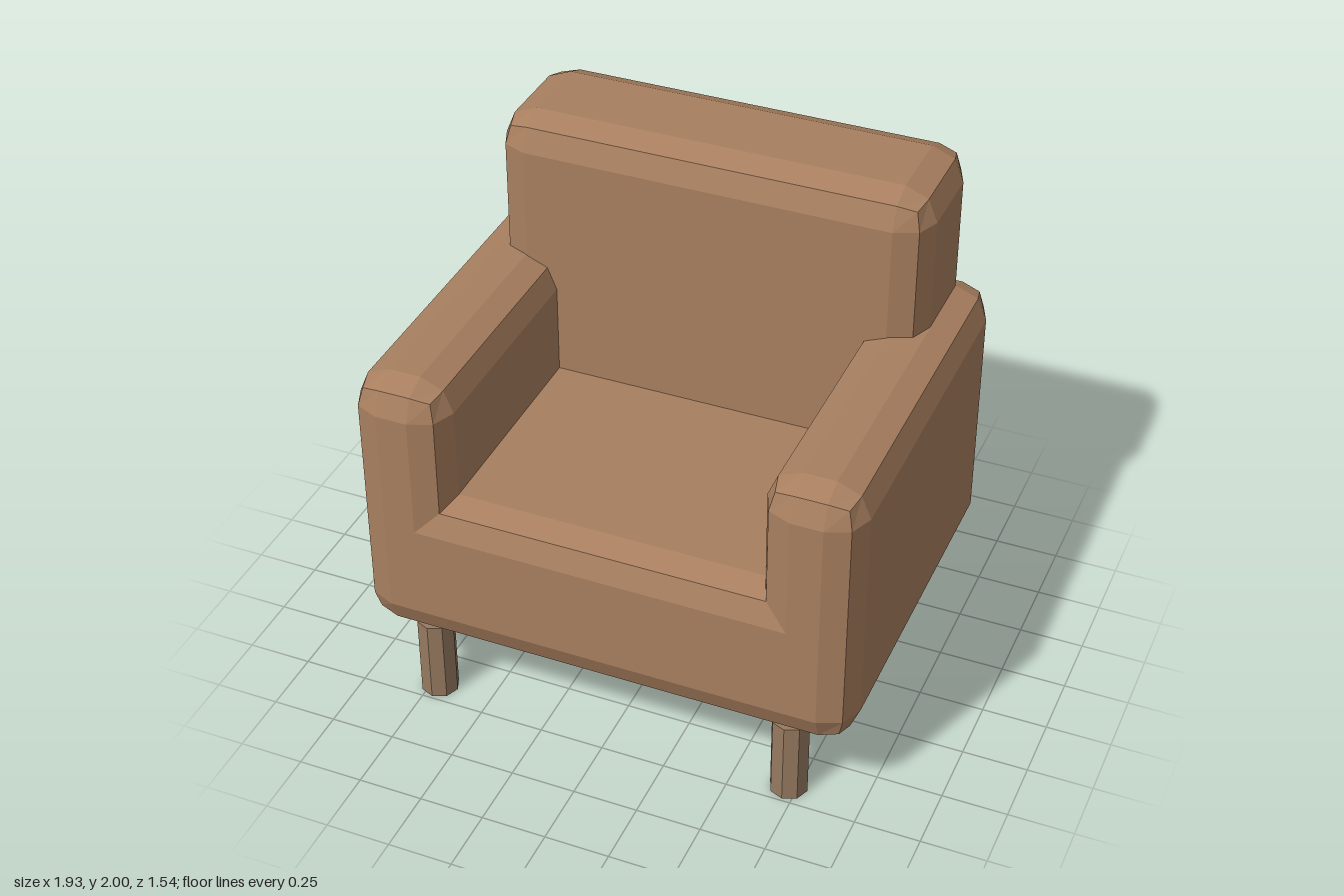
import * as THREE from 'three';
import { RoundedBoxGeometry } from 'three/addons/geometries/RoundedBoxGeometry.js';

export function createModel() {
  const chair = new THREE.Group();
  chair.name = 'armchair';

  const fabric = new THREE.MeshStandardMaterial({ color: 0xa87f5f, flatShading: true });
  const wood = new THREE.MeshStandardMaterial({ color: 0x967a60, flatShading: true });

  // Cushion block between two corners, with a two-step bevel
  function block(name, [x0, x1], [y0, y1], [z0, z1]) {
    const geometry = new RoundedBoxGeometry(x1 - x0, y1 - y0, z1 - z0, 1, 0.125);
    const mesh = new THREE.Mesh(geometry, fabric);
    mesh.name = name;
    mesh.position.set((x0 + x1) / 2, (y0 + y1) / 2, (z0 + z1) / 2);
    chair.add(mesh);
  }

  const base = 0.32, depth = [-0.77, 0.77];

  // Upholstery: seat and back run into the arms
  block('seat', [-0.9, 0.9], [base, 0.945], depth);
  block('backrest', [-0.84, 0.84], [base, 2], [-0.77, -0.22]);
  block('leftArm', [0.595, 0.967], [base, 1.432], depth);
  block('rightArm', [-0.967, -0.595], [base, 1.432], depth);

  // Four octagonal legs
  const legGeometry = new THREE.CylinderGeometry(0.073, 0.073, 0.34, 8);
  for (const [side, x] of [['Left', 0.715], ['Right', -0.715]]) {
    for (const [end, z] of [['front', 0.667], ['back', -0.6]]) {
      const leg = new THREE.Mesh(legGeometry, wood);
      leg.name = `${end}${side}Leg`;
      leg.position.set(x, 0.17, z);
      chair.add(leg);
    }
  }

  return chair;
}
